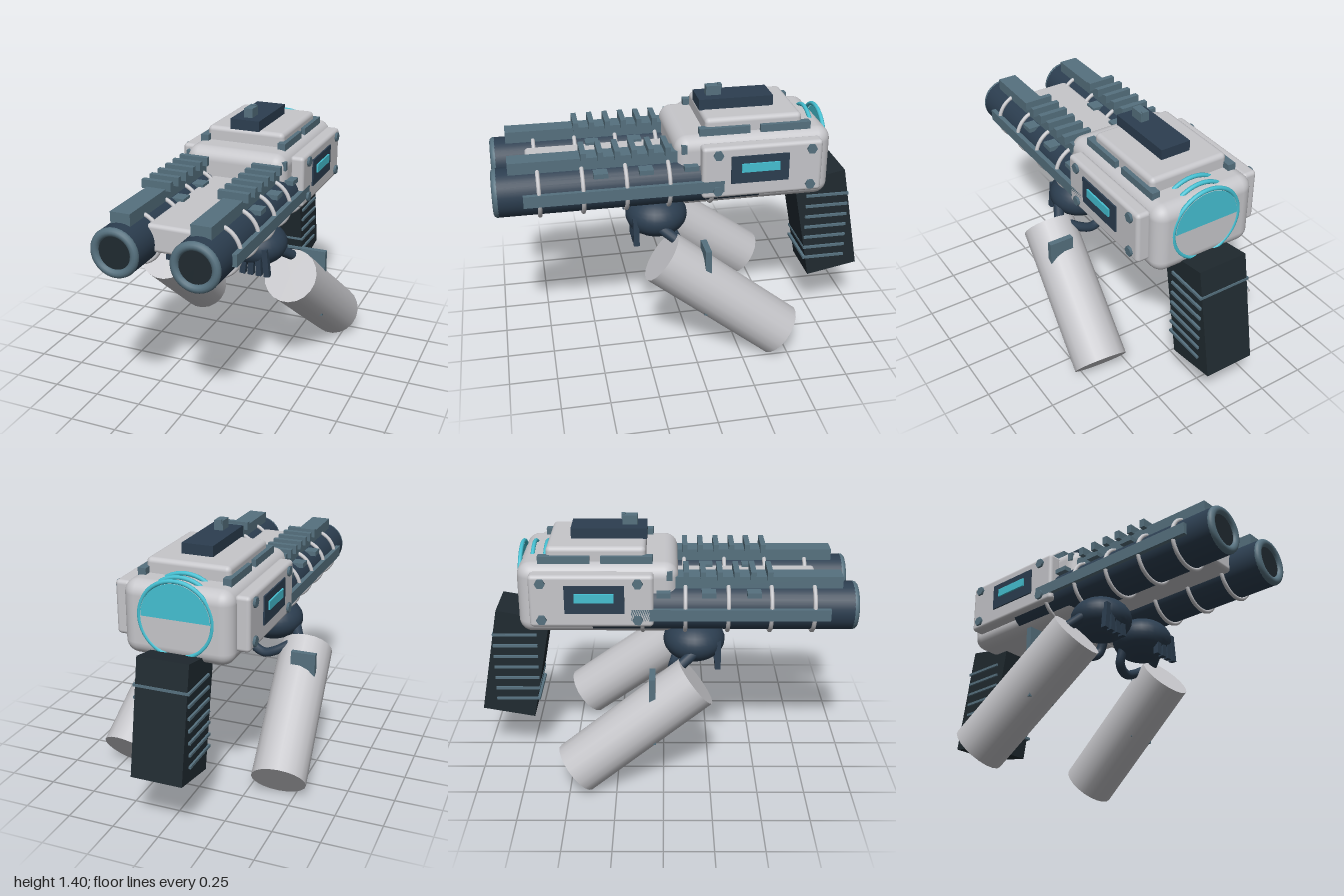
import * as THREE from 'three';
import { RoundedBoxGeometry } from 'three/addons/geometries/RoundedBoxGeometry.js';

const mat = (name, color, extra = {}) => {
  const m = new THREE.MeshStandardMaterial({ color, ...extra });
  m.name = name;
  return m;
};

export function createModel() {
  const shell = mat('shell grey', 0xc6c6ca);
  const navy = mat('navy', 0x2c3e50);
  const steel = mat('steel blue', 0x56717f);
  const black = mat('grip black', 0x202a30);
  const cyan = mat('glow cyan', 0x45c0d2, { side: THREE.DoubleSide });

  const model = new THREE.Group();
  model.name = 'twinBlaster';

  const add = (name, geo, material, x = 0, y = 0, z = 0, parent = model) => {
    const m = new THREE.Mesh(geo, material);
    m.name = name;
    m.position.set(x, y, z);
    parent.add(m);
    return m;
  };
  // Box given by its min and max corners
  const box = (name, material, [x0, x1], [y0, y1], [z0, z1], round = 0) => {
    const w = Math.abs(x1 - x0), h = y1 - y0, d = z1 - z0;
    const geo = round ? new RoundedBoxGeometry(w, h, d, 4, round) : new THREE.BoxGeometry(w, h, d);
    return add(name, geo, material, (x0 + x1) / 2, (y0 + y1) / 2, (z0 + z1) / 2);
  };
  const up = new THREE.Vector3(0, 1, 0);
  const rod = (name, material, a, b, r, sides) => {
    const dir = b.clone().sub(a);
    const mid = a.clone().add(b).multiplyScalar(0.5);
    const m = add(name, new THREE.CylinderGeometry(r, r, dir.length(), sides), material, mid.x, mid.y, mid.z);
    m.quaternion.setFromUnitVectors(up, dir.normalize());
    return m;
  };
  const V = (x, y, z) => new THREE.Vector3(x, y, z);

  // Receiver body, top cover and switch
  box('body', shell, [-0.285, 0.285], [0.83, 1.21], [-0.75, 0.075], 0.07);
  box('topCover', shell, [-0.22, 0.22], [1.17, 1.285], [-0.6, -0.09], 0.025);
  box('switchPlate', navy, [-0.083, 0.083], [1.283, 1.34], [-0.48, -0.085]);
  box('switchKnob', steel, [-0.024, 0.024], [1.34, 1.39], [-0.215, -0.135]);
  box('knobTip', steel, [-0.016, 0.016], [1.375, 1.395], [-0.22, -0.2]);
  box('centreSpine', shell, [-0.125, 0.125], [0.92, 1.063], [-0.05, 0.82], 0.02);

  // Rear glow rings and lens
  for (const z of [-0.615, -0.68, -0.743])
    add('glowRing', new THREE.TorusGeometry(0.19, 0.011, 10, 48), cyan, 0, 1.045, z);
  add('rearLens', new THREE.CircleGeometry(0.18, 36, 0, Math.PI), cyan, 0, 1.045, -0.7515);

  // Grip leaning backwards, with side ridges
  const grip = add('grip', new THREE.BoxGeometry(0.27, 0.6, 0.288), black, 0, 0.578, -0.805);
  grip.rotation.x = 0.184;
  for (let i = 0; i < 7; i++) {
    const y = 0.374 + i * 0.0643;
    box('gripRidge', steel, [-0.146, 0.146], [y - 0.007, y + 0.007], [-0.92, -0.68]);
  }

  for (const s of [1, -1]) {
    const X = (a, b) => [s * a, s * b];
    const bx = s * 0.205, by = 0.965;

    // Barrel with muzzle, bands and bore
    const barrel = add('barrel', new THREE.CylinderGeometry(0.125, 0.125, 1.34, 32), navy, bx, by, 0.305);
    barrel.rotation.x = Math.PI / 2;
    add('muzzleRing', new THREE.TorusGeometry(0.104, 0.022, 12, 36), steel, bx, by, 0.978);
    add('bore', new THREE.CircleGeometry(0.088, 32), black, bx, by, 0.981);
    for (let i = 0; i < 5; i++)
      add('barrelBand', new THREE.TorusGeometry(0.132, 0.011, 10, 36), shell, bx, by, 0.77 - i * 0.2195);

    // Top rail with teeth and clips, plus the outer side rail
    box('topRail', steel, X(0.153, 0.257), [1.07, 1.14], [0.04, 0.915]);
    for (let i = 0; i < 7; i++) {
      const z = 0.03 + i * 0.085;
      box('railTooth', steel, X(0.125, 0.285), [1.13, 1.176], [z - 0.014, z + 0.014]);
    }
    for (const z of [0, 0.23, 0.46])
      box('railClip', steel, X(0.085, 0.325), [1.052, 1.077], [z - 0.036, z + 0.036]);
    box('sideRail', steel, X(0.318, 0.35), [0.935, 0.997], [-0.165, 0.85]);

    // Side panel with display and bolts
    box('sidePanel', shell, X(0.27, 0.35), [0.9, 1.18], [-0.68, -0.05], 0.02);
    box('display', navy, X(0.33, 0.358), [0.98, 1.128], [-0.5, -0.197]);
    box('displayGlow', cyan, X(0.35, 0.367), [1.042, 1.088], [-0.45, -0.25]);
    for (const z of [-0.13, -0.618]) for (const y of [0.943, 1.14]) {
      const bolt = add('bolt', new THREE.CylinderGeometry(0.027, 0.027, 0.03, 6), steel, s * 0.348, y, z);
      bolt.rotation.z = Math.PI / 2;
    }
    for (const z of [-0.64, -0.32])
      box('coverRail', steel, X(0.2, 0.243), [1.19, 1.243], [z, z + 0.265]);

    // Hand: rounded palm, fingers, thumb and inner hose
    const palm = add('palm', new THREE.SphereGeometry(1, 28, 18), navy, s * 0.172, 0.76, 0.162);
    palm.scale.set(0.166, 0.115, 0.163);
    for (let i = 0; i < 4; i++) {
      const f = add('finger', new THREE.BoxGeometry(0.03, 0.15, 0.03), navy, s * (0.155 + i * 0.04), 0.708, 0.285);
      f.rotation.z = s * (i - 1.5) * 0.07;
    }
    const thumb = add('thumb', new THREE.CapsuleGeometry(0.028, 0.14, 6, 14), navy, s * 0.335, 0.7, 0.11);
    thumb.quaternion.setFromUnitVectors(up, V(-s * 0.5, 0.6, 0.85).normalize());
    const hose = new THREE.CatmullRomCurve3([
      V(s * 0.08, 0.7, 0.1), V(s * 0.09, 0.62, 0.07), V(s * 0.16, 0.588, 0.05), V(s * 0.23, 0.61, 0.05), V(s * 0.3, 0.65, 0.07)]);
    add('hose', new THREE.TubeGeometry(hose, 20, 0.026, 12), navy);

    // Forearm cylinder with cuff plate and studs
    rod('forearm', shell, V(s * 0.367, 0.602, 0.167), V(s * 0.432, 0.114, -0.465), 0.145, 20);
    box('cuffPlate', steel, X(0.355, 0.49), [0.53, 0.67], [-0.073, -0.042]);
    for (const x of [0.322, 0.478])
      box('forearmStud', steel, X(x - 0.008, x + 0.008), [0.286, 0.304], [-0.06, -0.04]);
  }
  return model;
}
